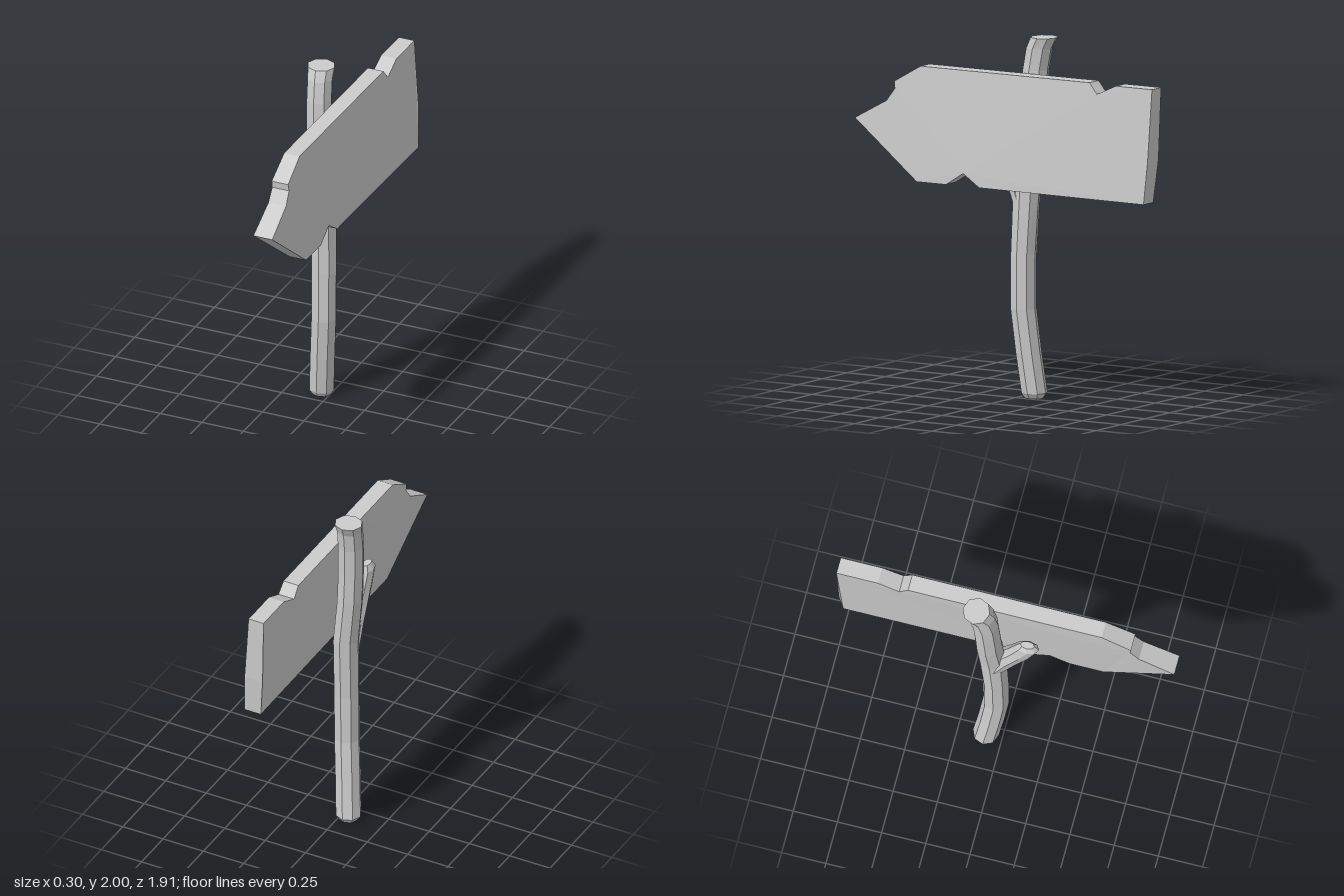
import * as THREE from 'three';

const material = new THREE.MeshStandardMaterial({ color: 0xcccccc, flatShading: true });

// Closed eight-sided loft through level rings [x, y, z, radiusX, radiusZ], bottom to top
function loft(name, rings, sides = 8) {
  const pos = [], index = [];
  for (const [x, y, z, rx, rz] of rings) {
    for (let j = 0; j < sides; j++) {
      const a = (j / sides) * Math.PI * 2;
      pos.push(x + rx * Math.cos(a), y, z + rz * Math.sin(a));
    }
  }
  const last = (rings.length - 1) * sides;
  const bottom = pos.length / 3, top = bottom + 1;
  pos.push(...rings[0].slice(0, 3), ...rings[rings.length - 1].slice(0, 3));
  for (let j = 0; j < sides; j++) {
    const k = (j + 1) % sides;
    for (let r = 0; r < last; r += sides) {
      index.push(r + j, r + sides + j, r + k, r + k, r + sides + j, r + sides + k);
    }
    index.push(bottom, j, k, top, last + k, last + j);
  }
  const geo = new THREE.BufferGeometry();
  geo.setAttribute('position', new THREE.Float32BufferAttribute(pos, 3));
  geo.setIndex(index);
  geo.computeVertexNormals();
  const mesh = new THREE.Mesh(geo, material);
  mesh.name = name;
  return mesh;
}

// Piecewise linear lookup in [[y, value], ...] with y ascending
function sample(table, y) {
  if (y <= table[0][0]) return table[0][1];
  for (let i = 1; i < table.length; i++) {
    const [y0, v0] = table[i - 1], [y1, v1] = table[i];
    if (y <= y1) return v0 + ((v1 - v0) * (y - y0)) / (y1 - y0);
  }
  return table[table.length - 1][1];
}

// Chipped arrow-shaped plank, leaning slightly against the post
function makeBoard() {
  const outline = [ // [z, y]
    [0.955, 1.49], [0.755, 1.6], [0.705, 1.67], [0.71, 1.71], [0.545, 1.805],
    [-0.55, 1.805], [-0.6, 1.745], [-0.72, 1.8], [-0.955, 1.8],
    [-0.945, 1.4], [-0.925, 1.165],
    [0.14, 1.17], [0.245, 1.24], [0.355, 1.17], [0.545, 1.17],
  ];
  const shape = new THREE.Shape(outline.map(([z, y]) => new THREE.Vector2(-z, y)));
  const geo = new THREE.ExtrudeGeometry(shape, { depth: 1, bevelEnabled: false });
  const inner = [[1.17, 0.05], [1.49, 0.02], [1.8, 0.017]];
  const outer = [[1.17, 0.15], [1.3, 0.147], [1.49, 0.134], [1.8, 0.11]];
  const p = geo.attributes.position;
  for (let i = 0; i < p.count; i++) {
    const y = p.getY(i);
    const x = THREE.MathUtils.lerp(sample(inner, y), sample(outer, y), p.getZ(i));
    p.setXYZ(i, x, y, -p.getX(i));
  }
  geo.computeVertexNormals();
  const mesh = new THREE.Mesh(geo, material);
  mesh.name = 'arrowBoard';
  return mesh;
}

export function createModel() {
  const group = new THREE.Group();
  group.name = 'signpost';

  // Crooked trunk with a chamfered foot and flared top
  group.add(loft('post', [
    [-0.05, 0, -0.092, 0.053, 0.053],
    [-0.05, 0.03, -0.092, 0.073, 0.073],
    [-0.033, 0.25, -0.066, 0.073, 0.073],
    [-0.015, 0.5, -0.043, 0.073, 0.073],
    [-0.014, 0.8, -0.045, 0.073, 0.073],
    [-0.02, 1.17, -0.062, 0.073, 0.08],
    [-0.05, 1.45, -0.075, 0.073, 0.077],
    [-0.06, 1.65, -0.082, 0.073, 0.075],
    [-0.065, 1.82, -0.092, 0.073, 0.075],
    [-0.069, 1.94, -0.112, 0.073, 0.075],
    [-0.075, 2, -0.14, 0.079, 0.076],
  ]));

  // Short branch stub growing up and forward
  group.add(loft('branchStub', [
    [-0.02, 1.08, -0.045, 0.066, 0.06],
    [-0.025, 1.25, 0.02, 0.06, 0.07],
    [-0.032, 1.4, 0.095, 0.05, 0.068],
    [-0.04, 1.52, 0.142, 0.04, 0.064],
    [-0.04, 1.555, 0.14, 0.022, 0.04],
  ]));

  group.add(makeBoard());
  return group;
}
